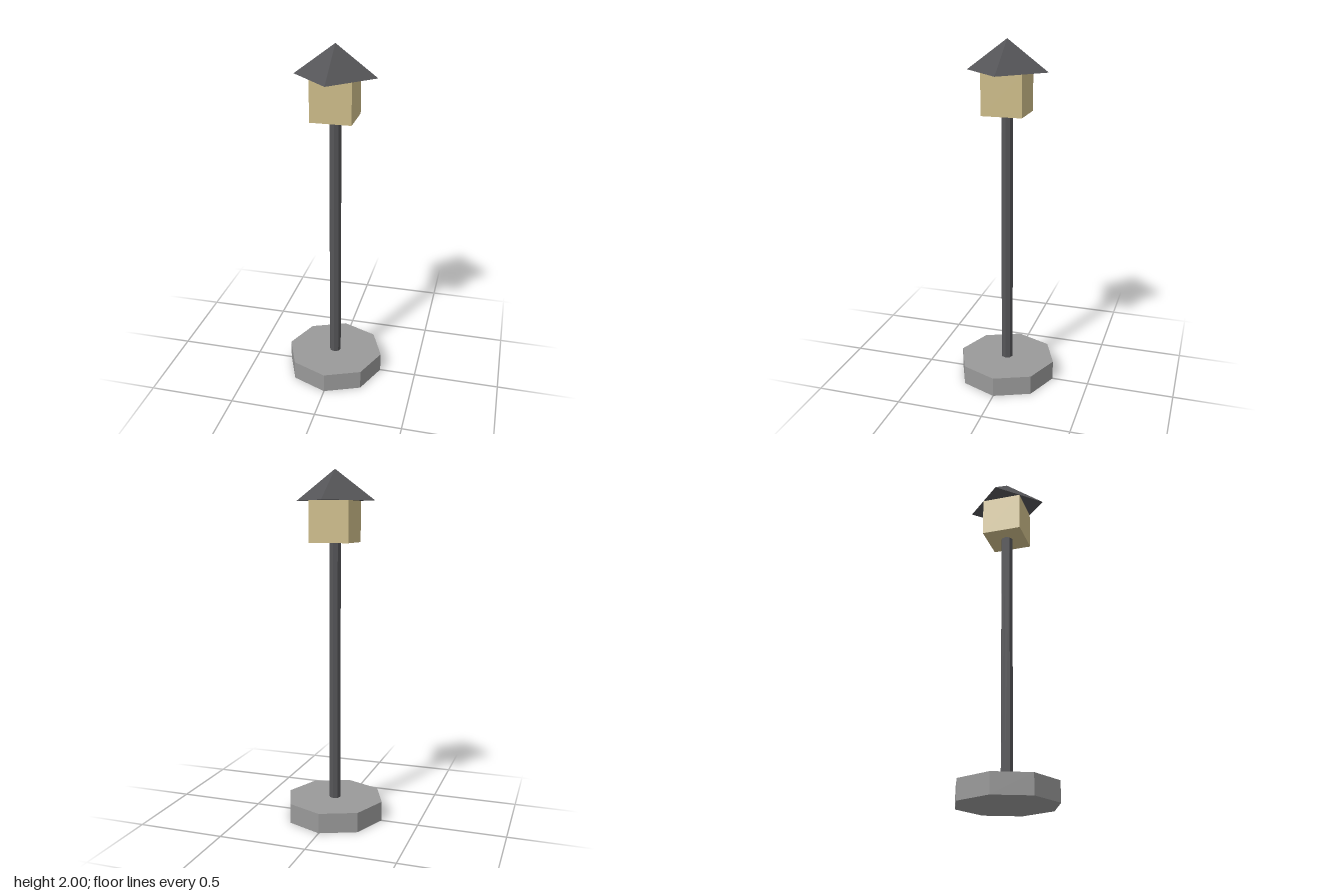
import * as THREE from 'three';

const material = (name, color) => {
  const m = new THREE.MeshStandardMaterial({ color, flatShading: true });
  m.name = name;
  return m;
};

export function createModel() {
  const group = new THREE.Group();
  group.name = 'lampPost';

  const stone = material('stone grey', 0x999999);
  const iron = material('dark iron', 0x555558);
  const glow = material('warm glass', 0xccbb88);

  // Adds a part whose bottom sits at the given height
  const add = (name, geometry, mat, bottom, height) => {
    const mesh = new THREE.Mesh(geometry, mat);
    mesh.name = name;
    mesh.position.y = bottom + height / 2;
    group.add(mesh);
  };

  // Octagonal foot
  add('base', new THREE.CylinderGeometry(0.286, 0.286, 0.114, 8), stone, 0, 0.114);
  // Slim post
  add('pole', new THREE.CylinderGeometry(0.034, 0.034, 1.486, 8), iron, 0.114, 1.486);
  // Lantern box
  add('lantern', new THREE.BoxGeometry(0.229, 0.229, 0.229), glow, 1.6, 0.229);
  // Pyramid roof, corners on the x and z axes
  add('roof', new THREE.ConeGeometry(0.229, 0.171, 4), iron, 1.829, 0.171);

  return group;
}
